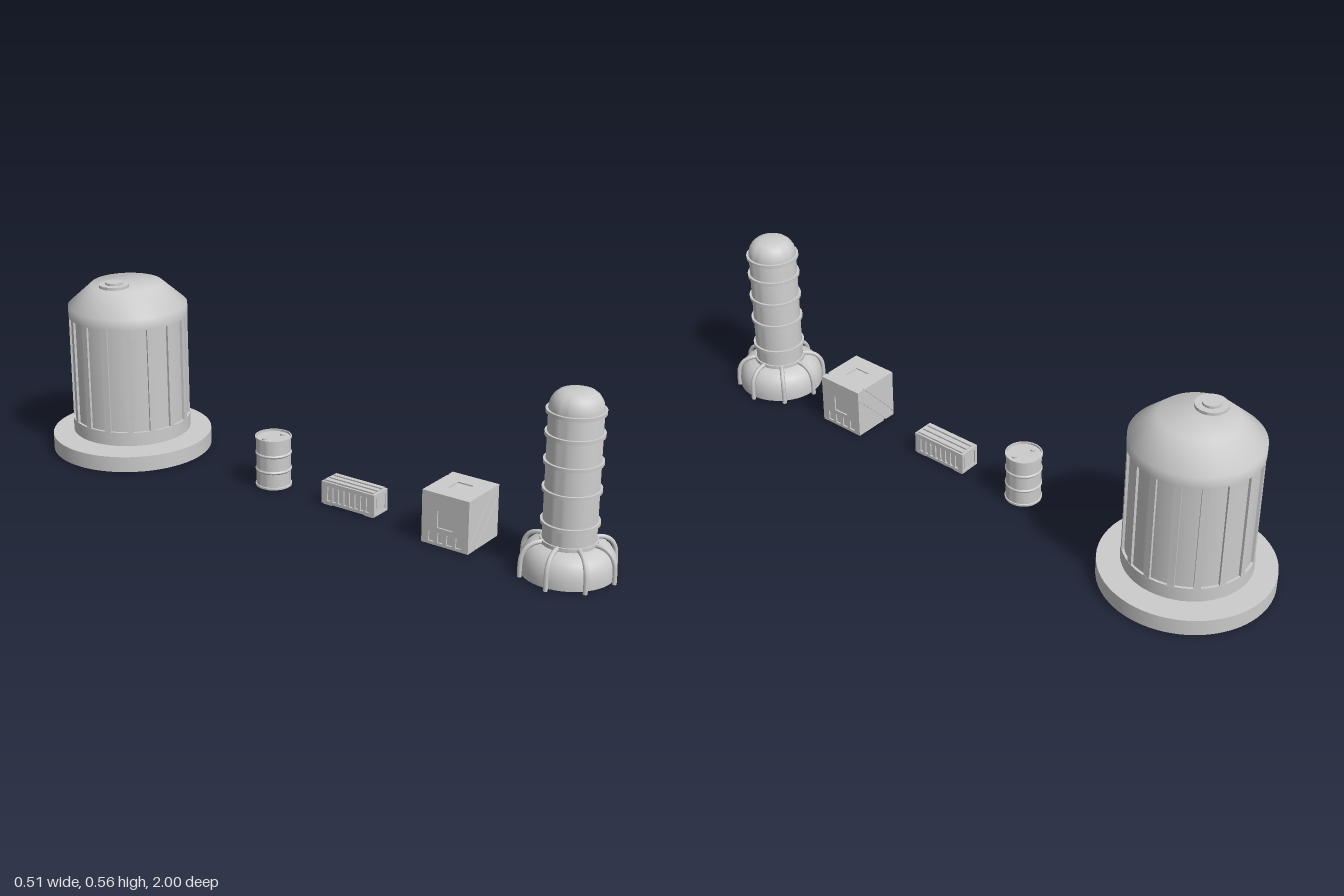
import * as THREE from 'three';
import { toCreasedNormals } from 'three/addons/utils/BufferGeometryUtils.js';

const grey = new THREE.MeshStandardMaterial({ color: 0xcccccc });
const V2 = (p) => new THREE.Vector2(p[0], p[1]);

function add(parent, name, geo, x = 0, y = 0, z = 0) {
  const m = new THREE.Mesh(geo, grey);
  m.name = name;
  m.position.set(x, y, z);
  parent.add(m);
  return m;
}
const box = (parent, name, w, h, d, x, y, z) => add(parent, name, new THREE.BoxGeometry(w, h, d), x, y, z);
// profile points run from the bottom up as [radius, height]
const lathe = (pts, seg = 48, crease = 0.6) => toCreasedNormals(new THREE.LatheGeometry(pts.map(V2), seg), crease);
const disc = (r, y0, y1) => [[0, y0], [r, y0], [r, y1], [0, y1]];
const plate = (pts, depth, holes = []) => {
  const s = new THREE.Shape(pts.map(V2));
  holes.forEach((h) => s.holes.push(new THREE.Path(h.map(V2))));
  return new THREE.ExtrudeGeometry(s, { depth, bevelEnabled: false });
};
const rect = (x0, y0, x1, y1) => [[x0, y0], [x1, y0], [x1, y1], [x0, y1]];

function group(root, name, z) {
  const g = new THREE.Group();
  g.name = name;
  g.position.z = z;
  root.add(g);
  return g;
}

function buildTank(root) {
  const g = group(root, 'storageTank', -0.745);
  add(g, 'basePlate', lathe(disc(0.255, 0.005, 0.055), 64));
  add(g, 'tankFoot', lathe([[0, 0.05], [0.14, 0.055], [0.188, 0.066], [0.188, 0.11], [0, 0.11]], 64, 0.4));
  add(g, 'tankBody', lathe(disc(0.18, 0.1, 0.45), 64));
  add(g, 'tankCap', lathe([[0, 0.445], [0.188, 0.445], [0.188, 0.48], [0.113, 0.547], [0, 0.547]], 64, 0.9));
  // upright ribs
  for (let i = 0; i < 16; i++) {
    const a = (i + 0.18) * Math.PI / 8;
    box(g, 'tankRib', 0.012, 0.345, 0.02, Math.cos(a) * 0.181, 0.277, Math.sin(a) * 0.181)
      .rotation.y = -a;
  }
  add(g, 'hatch', lathe([[0, 0.54], [0.047, 0.54], [0.047, 0.556], [0.027, 0.556], [0.027, 0.563], [0, 0.563]], 32), -0.059);
}

function buildTower(root) {
  const g = group(root, 'tower', 0.855);
  add(g, 'towerBase', lathe([[0, 0.005], [0.133, 0.005], [0.134, 0.03], [0.129, 0.055], [0.118, 0.075],
    [0.102, 0.088], [0.08, 0.094], [0.08, 0.105], [0, 0.105]], 48, 0.7));
  add(g, 'towerColumn', lathe([[0.075, 0.1], [0.075, 0.482], [0.071, 0.5], [0.062, 0.515],
    [0.05, 0.525], [0.034, 0.53], [0, 0.53]], 48, 0.7));
  for (const y of [0.155, 0.25, 0.33, 0.409, 0.473])
    add(g, 'towerRing', lathe(disc(0.082, y - 0.005, y + 0.005)));
  // curved claws around the base
  const path = new THREE.CatmullRomCurve3([[0.072, 0.1], [0.1, 0.097], [0.122, 0.084], [0.135, 0.06], [0.138, 0.03], [0.138, 0.001]]
    .map(([x, y]) => new THREE.Vector3(x, y, 0)));
  const claw = new THREE.TubeGeometry(path, 16, 0.007, 8);
  for (let i = 0; i < 8; i++) {
    const c = new THREE.Group();
    c.name = 'claw';
    c.rotation.y = i * Math.PI / 4 + 0.06;
    add(c, 'clawTube', claw);
    add(c, 'clawTip', new THREE.CylinderGeometry(0.007, 0.007, 0.004, 8), 0.138, 0.002, 0);
    g.add(c);
  }
}

function buildCrate(root) {
  const g = group(root, 'crate', 0.507);
  box(g, 'crateCore', 0.15, 0.152, 0.145, 0, 0.085, 0);
  // front and back: plates parted by a diagonal groove
  const lower = plate([[-0.075, 0.005], [0.075, 0.005], [0.075, 0.125], [-0.035, 0.005]].filter((_, i) => i !== 0), 0.005);
  const upper = plate([[-0.075, 0.025], [0.05, 0.165], [-0.075, 0.165]], 0.005);
  const strip = plate([[-0.075, 0.005], [-0.042, 0.005], [0.075, 0.133], [0.075, 0.165], [0.057, 0.165], [-0.075, 0.017]], 0.005);
  for (const z of [0.0725, -0.0775])
    for (const p of [lower, upper, strip]) add(g, 'diagonalPlate', p, 0, 0, z);
  // sides: plate with a square recess and a row of slots
  const holes = [rect(-0.026, 0.06, 0.026, 0.112)];
  for (let i = 0; i < 4; i++) holes.push(rect(-0.054 + i * 0.03, 0.014, -0.036 + i * 0.03, 0.045));
  const side = plate(rect(-0.0775, 0.005, 0.0775, 0.165), 0.005, holes);
  for (const x of [0.075, -0.08]) add(g, 'sidePlate', side, x).rotation.y = Math.PI / 2;
  g.children.filter((m) => m.name === 'sidePlate').forEach((m) => { m.position.z = 0; });
  // top and bottom with a square recess
  const lid = plate(rect(-0.075, -0.0725, 0.075, 0.0725), 0.005, [rect(-0.026, -0.026, 0.026, 0.026)]);
  for (const y of [0.165, 0.01]) add(g, 'lidPlate', lid, 0, y).rotation.x = Math.PI / 2;
}

function buildContainer(root) {
  const g = group(root, 'container', 0.14);
  box(g, 'containerCore', 0.058, 0.062, 0.18, 0, 0.046, 0);
  box(g, 'containerSill', 0.07, 0.01, 0.19, 0, 0.014, 0);
  box(g, 'containerRim', 0.07, 0.013, 0.19, 0, 0.0725, 0);
  for (const s of [-1, 1]) {
    for (let i = 0; i < 9; i++)
      box(g, 'sideRib', 0.006, 0.05, 0.01, s * 0.031, 0.043, (i - 4) * 0.02);
    for (const e of [-1, 1]) {
      box(g, 'cornerPost', 0.01, 0.055, 0.012, s * 0.03, 0.043, e * 0.089);
      box(g, 'foot', 0.018, 0.005, 0.03, s * 0.024, 0.008, e * 0.075);
    }
    box(g, 'endDoor', 0.044, 0.046, 0.005, 0, 0.043, s * 0.0915);
  }
  for (let i = -1; i <= 1; i++) box(g, 'roofRib', 0.014, 0.006, 0.176, i * 0.022, 0.081, 0);
}

function buildBarrel(root) {
  const g = group(root, 'barrel', -0.163);
  const r = 0.053, R = 0.056;
  const pts = [[0, 0.008], [R, 0.006], [R, 0.012], [r, 0.013]];
  for (const y of [0.06, 0.112]) pts.push([r, y - 0.005], [R, y - 0.001], [R, y + 0.001], [r, y + 0.005]);
  pts.push([r, 0.158], [R, 0.159], [R, 0.165], [0.052, 0.165], [0.052, 0.159], [0, 0.159]);
  add(g, 'drum', lathe(pts, 40));
  for (const [x, z] of [[0.03, 0.012], [-0.032, -0.01]])
    add(g, 'bung', new THREE.CylinderGeometry(0.008, 0.008, 0.006, 16), x, 0.161, z);
}

export function createModel() {
  const root = new THREE.Group();
  root.name = 'industrialProps';
  [buildTank, buildTower, buildCrate, buildContainer, buildBarrel].forEach((f) => f(root));
  return root;
}
